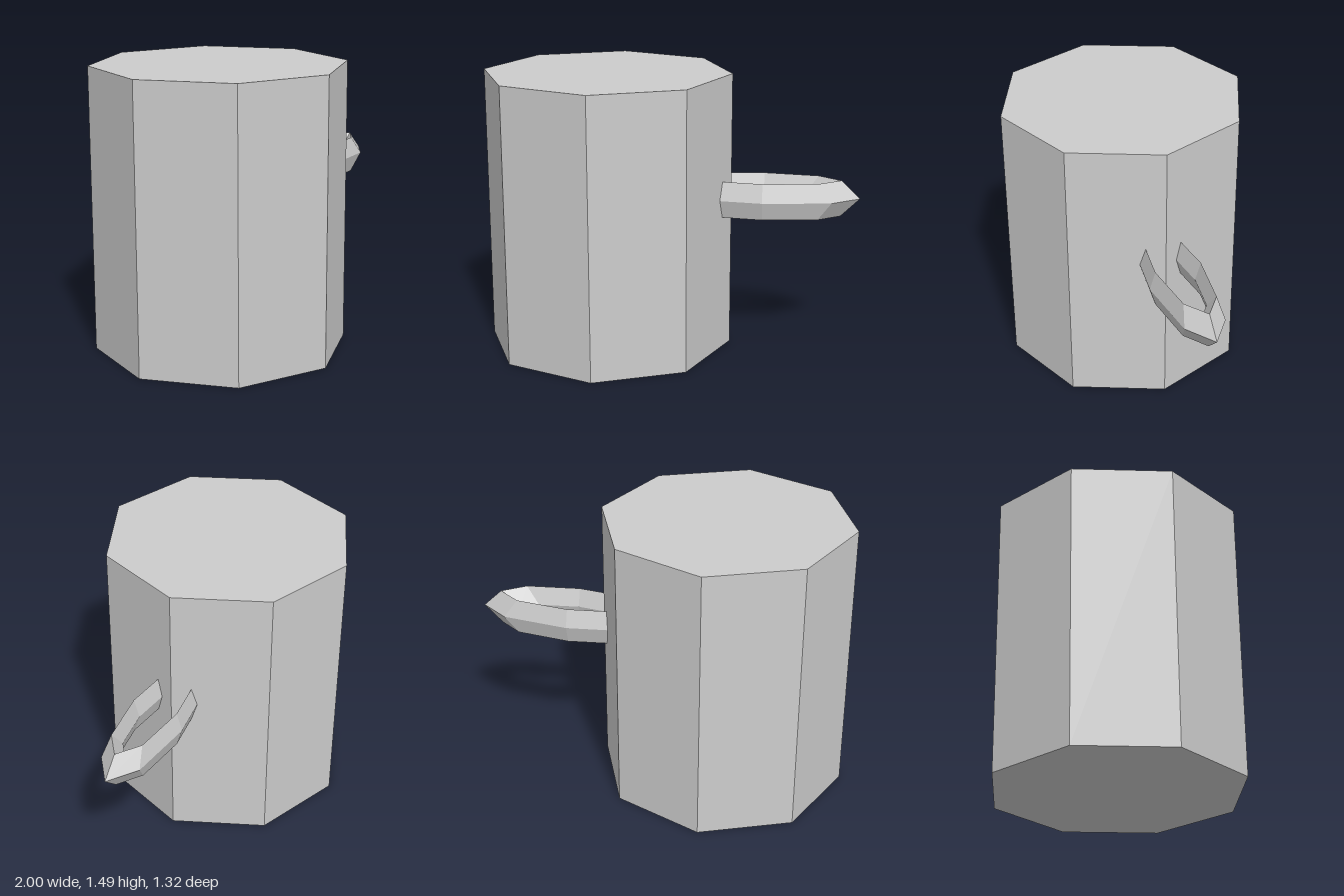
import * as THREE from 'three';

export function createModel() {
  const group = new THREE.Group();
  const grey = new THREE.MeshStandardMaterial({ color: 0xcccccc, flatShading: true });
  grey.name = 'light grey';

  // Closed eight-sided body with corners on the axes
  const body = new THREE.Mesh(new THREE.CylinderGeometry(0.66, 0.66, 1.485, 8), grey);
  body.name = 'body';
  body.position.set(-0.34, 0.7425, 0);
  group.add(body);

  // Flat-lying handle: a squashed ring with a diamond section, sunk into the body
  const ring = new THREE.TorusGeometry(0.41, 0.1, 4, 8);
  ring.scale(1, 0.298, 0.975);
  ring.rotateX(Math.PI / 2);
  const handle = new THREE.Mesh(ring, grey);
  handle.name = 'handle';
  handle.position.set(0.49, 0.83, 0);
  group.add(handle);

  return group;
}
